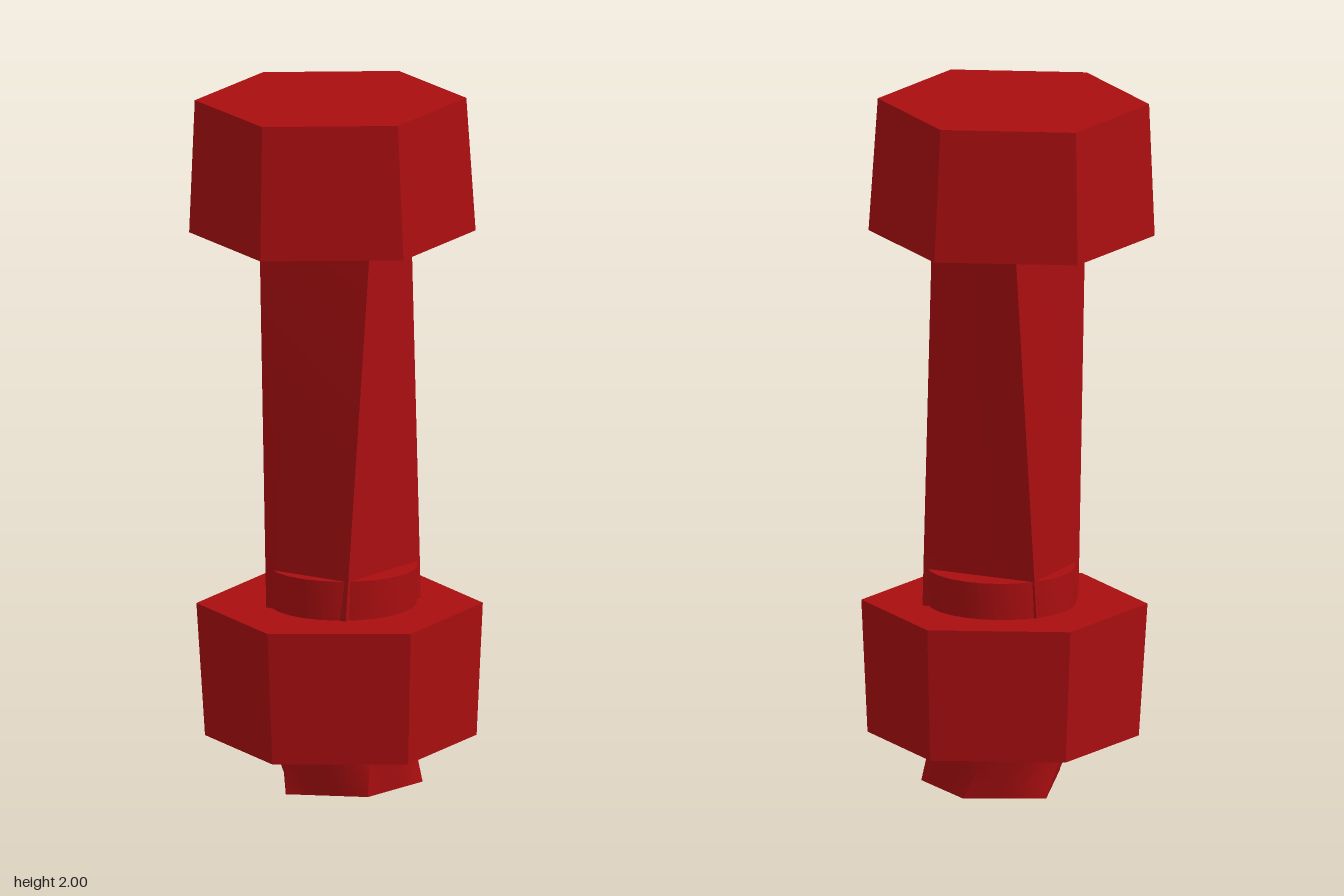
import * as THREE from 'three';
import { toCreasedNormals } from 'three/addons/utils/BufferGeometryUtils.js';

// Closed solid through a stack of equal-sized rings (bottom to top).
function loft(rings) {
  const n = rings[0].length, pos = [];
  const tri = (...pts) => pts.forEach((p) => pos.push(p.x, p.y, p.z));
  const middle = (r) => r.reduce((s, p) => s.add(p), new THREE.Vector3()).divideScalar(n);
  const first = rings[0], last = rings[rings.length - 1];
  const c0 = middle(first), c1 = middle(last);
  for (let i = 0; i < n; i++) {
    const j = (i + 1) % n;
    for (let k = 0; k + 1 < rings.length; k++) {
      const lo = rings[k], hi = rings[k + 1];
      tri(lo[i], hi[i], hi[j]);
      tri(lo[i], hi[j], lo[j]);
    }
    tri(c0, first[i], first[j]);
    tri(c1, last[j], last[i]);
  }
  const g = new THREE.BufferGeometry();
  g.setAttribute('position', new THREE.Float32BufferAttribute(pos, 3));
  return toCreasedNormals(g, 0.6);
}

// Regular ring on a slightly tilted plane.
function ring(sides, radius, cx, cz, y, phase, tiltX = 0, tiltZ = 0) {
  return Array.from({ length: sides }, (_, i) => {
    const a = phase + (i / sides) * Math.PI * 2;
    const x = cx + radius * Math.cos(a), z = cz + radius * Math.sin(a);
    return new THREE.Vector3(x, y + tiltX * x + tiltZ * z, z);
  });
}

// Ring from [x, z] corners, each edge cut into equal steps.
function polygonRing(corners, y, steps = 1, tiltX = 0) {
  const out = [];
  corners.forEach(([x, z], i) => {
    const [x2, z2] = corners[(i + 1) % corners.length];
    for (let s = 0; s < steps; s++) {
      const px = x + ((x2 - x) * s) / steps;
      out.push(new THREE.Vector3(px, y + tiltX * px, z + ((z2 - z) * s) / steps));
    }
  });
  return out;
}

const blend = (a, b, t) => a.map((p, i) => p.clone().lerp(b[i], t));

export function createModel() {
  const model = new THREE.Group();
  model.name = 'boltAndNut';
  const red = new THREE.MeshStandardMaterial({ color: 0xaa0e10 });
  red.name = 'red';
  const add = (name, rings) => {
    const mesh = new THREE.Mesh(loft(rings), red);
    mesh.name = name;
    model.add(mesh);
  };

  // Hexagonal head and nut, each narrower at its outer end
  const turn = 0.132;
  add('head', [
    ring(6, 0.405, -0.008, 0.008, 1.61, turn, 0, -0.01),
    ring(6, 0.384, -0.01, 0.013, 1.995, turn, 0.006, -0.008),
  ]);
  add('nut', [
    ring(6, 0.384, 0.005, -0.012, 0.145, turn, -0.013, -0.013),
    ring(6, 0.405, 0.006, -0.007, 0.53, turn, -0.013, -0.013),
  ]);

  // Four-sided shank with a slight twist
  const low = polygonRing([[0.185, 0.11], [-0.08, 0.188], [-0.21, -0.045], [0.1, -0.225]], 0.5);
  const high = polygonRing([[0.205, 0.035], [-0.09, 0.205], [-0.187, -0.105], [0.08, -0.205]], 1.63);
  add('shank', Array.from({ length: 9 }, (_, i) => blend(low, high, i / 8)));

  // Round threaded end, tapering to a five-sided tip
  const tip = polygonRing(
    [[0.2, 0.04], [0.02, 0.195], [-0.205, -0.01], [-0.08, -0.21], [0.14, -0.2]], 0.005, 5, 0.02);
  const round = ring(25, 0.205, -0.002, -0.012, 0.16, 0.2);
  add('threadedEnd', [
    tip,
    blend(tip, round, 0.33),
    blend(tip, round, 0.66),
    round,
    ring(25, 0.212, 0.006, -0.02, 0.64, 0.2),
  ]);

  return model;
}
